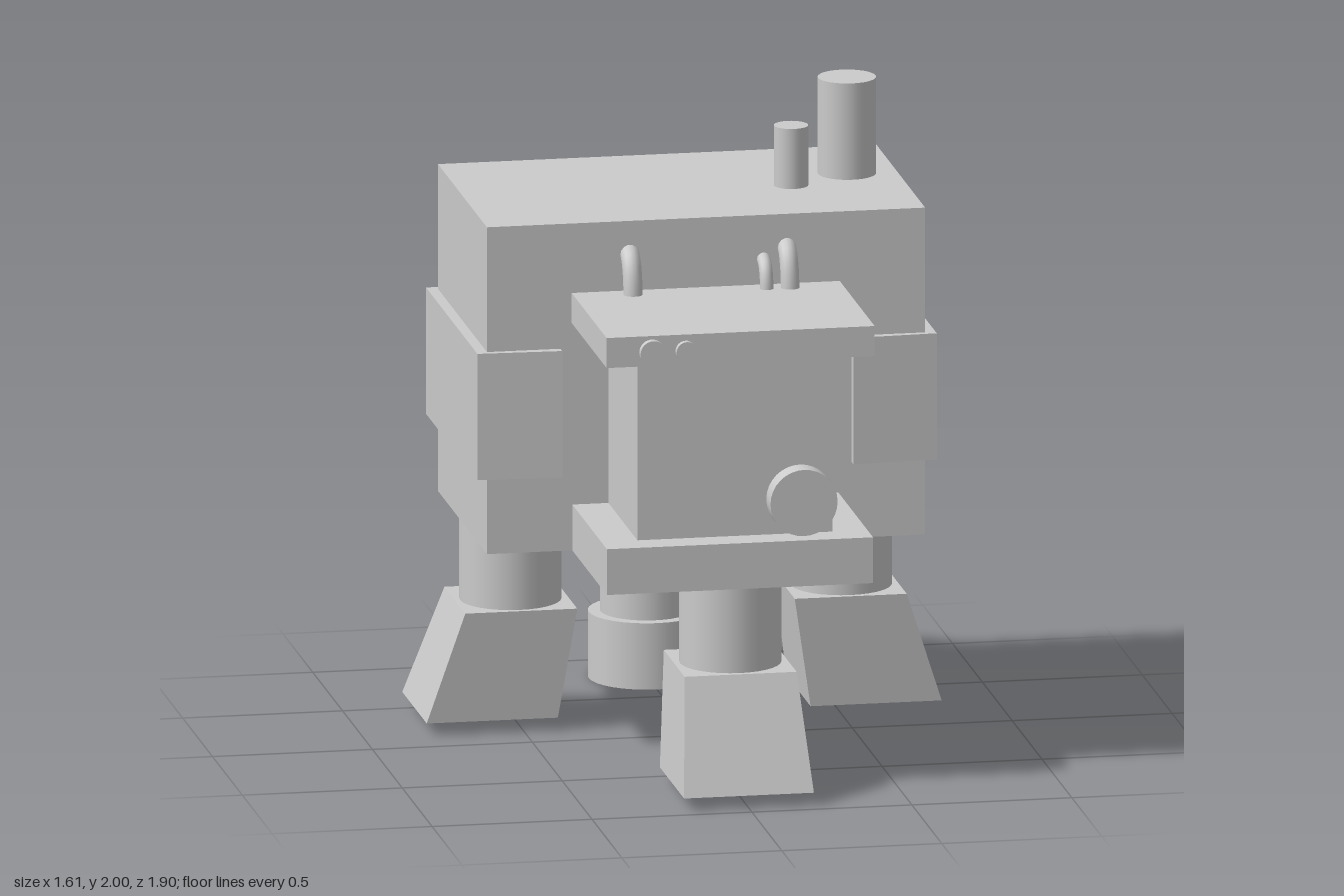
import * as THREE from 'three';

const material = new THREE.MeshStandardMaterial({ color: 0xcccccc });

export function createModel() {
  const model = new THREE.Group();

  const add = (name, geometry) => {
    const mesh = new THREE.Mesh(geometry, material);
    mesh.name = name;
    model.add(mesh);
    return mesh;
  };

  // Box given by its extents on each axis
  const box = (name, [x0, x1], [y0, y1], [z0, z1]) =>
    add(name, new THREE.BoxGeometry(x1 - x0, y1 - y0, z1 - z0)
      .translate((x0 + x1) / 2, (y0 + y1) / 2, (z0 + z1) / 2));

  // Upright cylinder between two heights
  const post = (name, x, z, r, y0, y1) =>
    add(name, new THREE.CylinderGeometry(r, r, y1 - y0, 32).translate(x, (y0 + y1) / 2, z));

  // Disc facing the front
  const disc = (name, x, y, r, z0, z1) =>
    add(name, new THREE.CylinderGeometry(r, r, z1 - z0, 32)
      .rotateX(Math.PI / 2).translate(x, y, (z0 + z1) / 2));

  // Flared foot: a box whose top and bottom rectangles differ
  const foot = (name, top, bottom) => {
    const g = new THREE.BoxGeometry(1, 1, 1);
    const p = g.attributes.position;
    for (let i = 0; i < p.count; i++) {
      const [x0, x1, z0, z1] = p.getY(i) > 0 ? top : bottom;
      p.setXYZ(i, p.getX(i) < 0 ? x0 : x1, p.getY(i) > 0 ? 0.39 : 0.04, p.getZ(i) < 0 ? z0 : z1);
    }
    g.computeVertexNormals();
    return add(name, g);
  };

  // Main body and its chimneys
  box('body', [-0.685, 0.685], [0.66, 1.695], [-0.59, 0.23]);
  post('largeChimney', 0.53, -0.25, 0.09, 1.69, 2.0);
  post('smallChimney', 0.333, -0.13, 0.053, 1.69, 1.885);

  // Front housing between two slabs
  box('frontHousing', [-0.305, 0.305], [0.8, 1.38], [0.22, 0.715]);
  box('roofSlab', [-0.42, 0.418], [1.38, 1.475], [0.22, 0.815]);
  box('floorSlab', [-0.418, 0.414], [0.66, 0.805], [0.22, 0.81]);
  disc('frontDial', 0.203, 0.917, 0.105, 0.71, 0.785);
  disc('largeButton', -0.28, 1.427, 0.04, 0.826, 0.85);
  disc('smallButton', -0.175, 1.427, 0.032, 0.828, 0.848);

  // Bent hoses from the roof slab into the body
  for (const [x, r, top] of [[-0.238, 0.03, 1.595], [0.253, 0.029, 1.595], [0.18, 0.021, 1.558]]) {
    const path = new THREE.CubicBezierCurve3(
      new THREE.Vector3(x, 1.46, 0.285), new THREE.Vector3(x, 1.53, 0.28),
      new THREE.Vector3(x, top, 0.26), new THREE.Vector3(x, top, 0.2));
    add('roofHose', new THREE.TubeGeometry(path, 10, r, 14));
  }

  // Slightly tapered bands wrapping both sides, and rear legs with feet
  for (const s of [1, -1]) {
    const side = s > 0 ? 'left' : 'right';
    const outline = [[0.455, -0.26], [0.718, -0.248], [0.718, 0.613], [0.46, 0.625]];
    const shape = new THREE.Shape(outline.map(([x, y]) => new THREE.Vector2(s * x, y)));
    add(side + 'Band', new THREE.ExtrudeGeometry(shape, { depth: 0.4, bevelEnabled: false })
      .rotateX(-Math.PI / 2).translate(0, 0.9, 0));

    post(side + 'RearLeg', s * 0.517, -0.278, 0.157, 0.38, 0.68);
    const span = (a, b) => (s > 0 ? [a, b] : [-b, -a]);
    foot(side + 'RearFoot',
      [...span(0.34, 0.69), -0.455, -0.105],
      [...span(0.395, 0.805), -0.545, -0.135]);
  }

  // Front leg and foot
  post('frontLeg', 0, 0.637, 0.157, 0.38, 0.68);
  foot('frontFoot', [-0.175, 0.175, 0.46, 0.81], [-0.203, 0.203, 0.545, 0.95]);

  // Rear plate and drain pipe
  box('rearPlate', [-0.23, 0.23], [0.9, 1.3], [-0.624, -0.58]);
  post('drainPipe', 0, -0.77, 0.143, 0.2, 0.75);
  post('drainCollar', 0, -0.77, 0.18, 0, 0.21);

  // Elbow: cylinder rings swept along a quarter ellipse
  const elbow = new THREE.CylinderGeometry(0.143, 0.143, 1, 32, 4, true);
  const p = elbow.attributes.position;
  for (let i = 0; i < p.count; i++) {
    const t = (0.5 - p.getY(i)) * Math.PI / 2, w = p.getZ(i);
    p.setY(i, 0.75 + (0.36 - w) * Math.cos(t));
    p.setZ(i, -0.6 - (0.17 - w) * Math.sin(t));
  }
  elbow.computeVertexNormals();
  add('drainElbow', elbow);

  return model;
}
